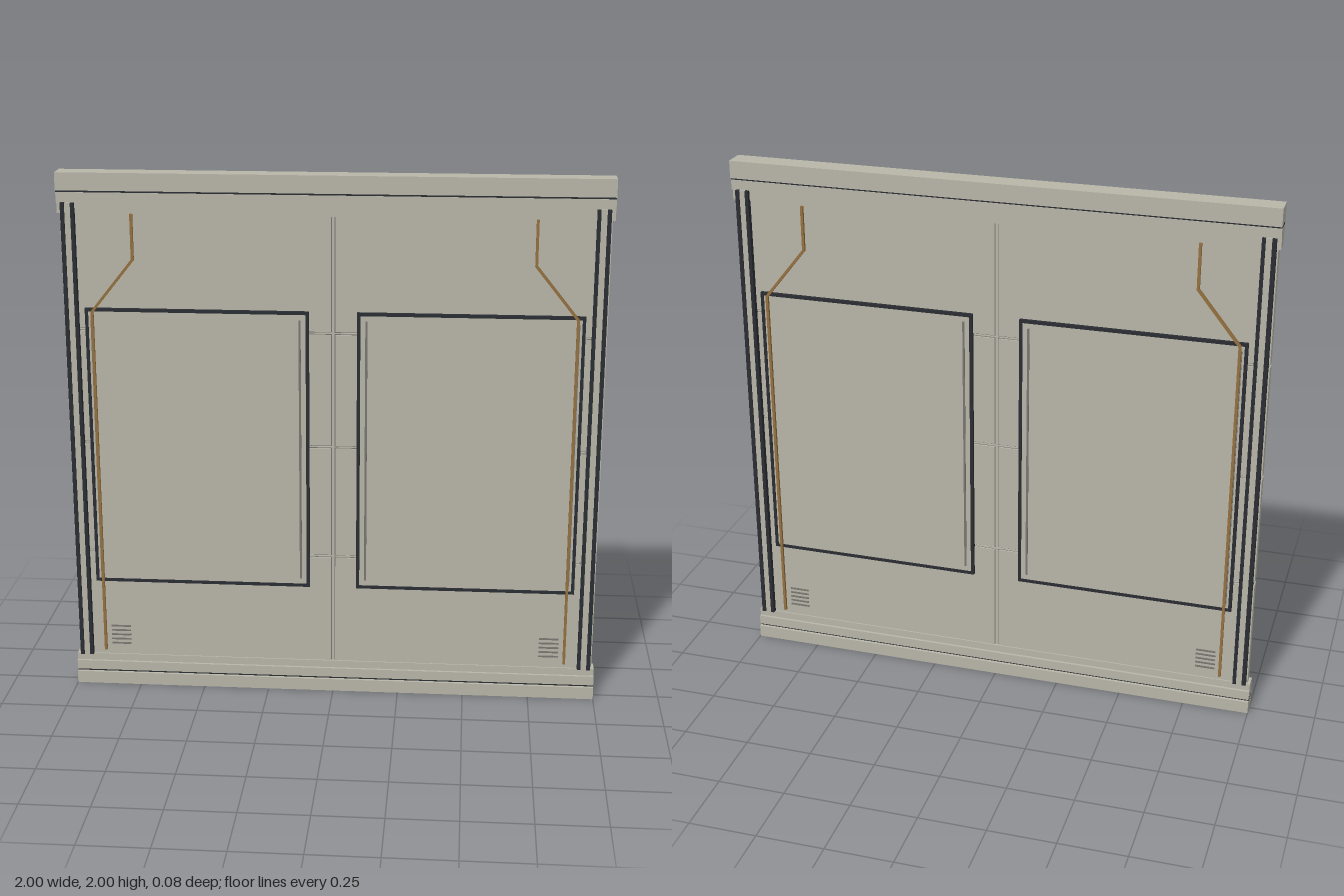
import * as THREE from 'three';

const material = (color) => new THREE.MeshStandardMaterial({ color, flatShading: true });
const plaster = material(0xb8b5a8);
const dark = material(0x2a2d32);
const metal = material(0x77766f);
const copper = material(0x94703f);

// Box given by its extents on each axis
function block(parent, name, mat, [x0, x1], [y0, y1], [z0, z1]) {
  const mesh = new THREE.Mesh(new THREE.BoxGeometry(x1 - x0, y1 - y0, z1 - z0), mat);
  mesh.position.set((x0 + x1) / 2, (y0 + y1) / 2, (z0 + z1) / 2);
  mesh.name = name;
  parent.add(mesh);
  return mesh;
}

// Rectangular frame with an open middle
function frame(parent, [x0, x1], [y0, y1], [z0, z1], w) {
  const rect = (T, d) => new T([
    new THREE.Vector2(x0 + d, y0 + d), new THREE.Vector2(x1 - d, y0 + d),
    new THREE.Vector2(x1 - d, y1 - d), new THREE.Vector2(x0 + d, y1 - d),
  ]);
  const shape = rect(THREE.Shape, 0);
  shape.holes.push(rect(THREE.Path, w));
  const geo = new THREE.ExtrudeGeometry(shape, { depth: z1 - z0, bevelEnabled: false });
  geo.translate(0, 0, z0);
  const mesh = new THREE.Mesh(geo, dark);
  mesh.name = 'panelFrame';
  parent.add(mesh);
}

// Square conduit bent through a few points
function conduit(parent, points, z, r) {
  const path = new THREE.CurvePath();
  for (let i = 1; i < points.length; i++) {
    path.add(new THREE.LineCurve3(
      new THREE.Vector3(...points[i - 1], z), new THREE.Vector3(...points[i], z)));
  }
  path.curves.forEach((line) => {
    const len = line.getLength() + r;
    const mesh = new THREE.Mesh(new THREE.BoxGeometry(r * 2, len, r * 2), copper);
    const d = line.v2.clone().sub(line.v1);
    mesh.position.copy(line.getPoint(0.5));
    mesh.rotation.z = Math.atan2(-d.x, d.y);
    mesh.name = 'conduit';
    parent.add(mesh);
  });
}

// Everything mounted on one half of one face; s is the side along x
function halfFace(s) {
  const g = new THREE.Group();
  g.name = s > 0 ? 'leftHalf' : 'rightHalf';
  const span = (a, b) => (s > 0 ? [a, b] : [-b, -a]);

  // Edge post: two dark rails with a light strip between
  block(g, 'postRail', dark, span(0.97, 0.985), [0.12, 1.89], [0.015, 0.039]);
  block(g, 'postRail', dark, span(0.935, 0.948), [0.12, 1.89], [0.015, 0.039]);
  block(g, 'postStrip', plaster, span(0.948, 0.97), [0.12, 1.89], [0.015, 0.035]);

  // Raised panel in its frame, with a slim strip down each side
  frame(g, span(0.088, 0.912), [0.427, 1.502], [0.018, 0.032], 0.012);
  block(g, 'panel', plaster, span(0.1, 0.9), [0.439, 1.49], [0.018, 0.029]);
  for (const x of [0.122, 0.888]) {
    block(g, 'panelStrip', metal, span(x - 0.004, x + 0.004), [0.46, 1.47], [0.028, 0.032]);
  }

  // Conduit running from the header to the floor vent
  conduit(g, [[0.884, 0.145], [0.884, 1.49], [0.728, 1.685], [0.728, 1.85]]
    .map(([x, y]) => [x * s, y]), 0.036, 0.005);

  // Vent slats
  for (let i = 0; i < 5; i++) {
    const y = 0.165 + i * 0.018;
    block(g, 'ventSlat', metal, span(0.787, 0.862), [y - 0.003, y + 0.003], [0.018, 0.024]);
  }
  return g;
}

export function createModel() {
  const model = new THREE.Group();
  model.name = 'wallSection';

  // Core behind the seams, then slabs leaving grooves between them
  block(model, 'core', metal, [-0.985, 0.985], [0.05, 1.95], [-0.014, 0.014]);
  const rows = [0.1, 0.55, 0.985, 1.42, 1.87];
  const gap = 0.006;
  for (let i = 0; i < 4; i++) {
    const y = [rows[i] + gap, rows[i + 1] - gap];
    block(model, 'slab', plaster, [-0.99, -0.008], y, [-0.02, 0.02]);
    block(model, 'slab', plaster, [0.008, 0.99], y, [-0.02, 0.02]);
  }
  // Light bead inside each seam
  for (const y of rows.slice(1, 4)) {
    block(model, 'seamBead', plaster, [-0.985, 0.985], [y - 0.002, y + 0.002], [-0.018, 0.018]);
  }
  block(model, 'centreBead', plaster, [-0.005, 0.005], [0.1, 1.86], [-0.017, 0.017]);

  // Stepped header and base: bottom, top, half depth, material
  const beams = [
    ['header', 1.935, 2, 0.04, plaster],
    ['headerJoint', 1.928, 1.935, 0.032, dark],
    ['headerStep', 1.893, 1.928, 0.034, plaster],
    ['headerTrim', 1.85, 1.893, 0.025, plaster],
    ['base', 0, 0.048, 0.04, plaster],
    ['baseJoint', 0.048, 0.056, 0.028, dark],
    ['baseStep', 0.056, 0.092, 0.035, plaster],
    ['baseTrim', 0.092, 0.12, 0.025, plaster],
  ];
  for (const [name, y0, y1, d, mat] of beams) {
    block(model, name, mat, [-1, 1], [y0, y1], [-d, d]);
  }

  // Both faces carry the same fittings
  for (const turn of [0, Math.PI]) {
    const face = new THREE.Group();
    face.name = turn ? 'backFace' : 'frontFace';
    face.add(halfFace(1), halfFace(-1));
    face.rotation.y = turn;
    model.add(face);
  }
  return model;
}
